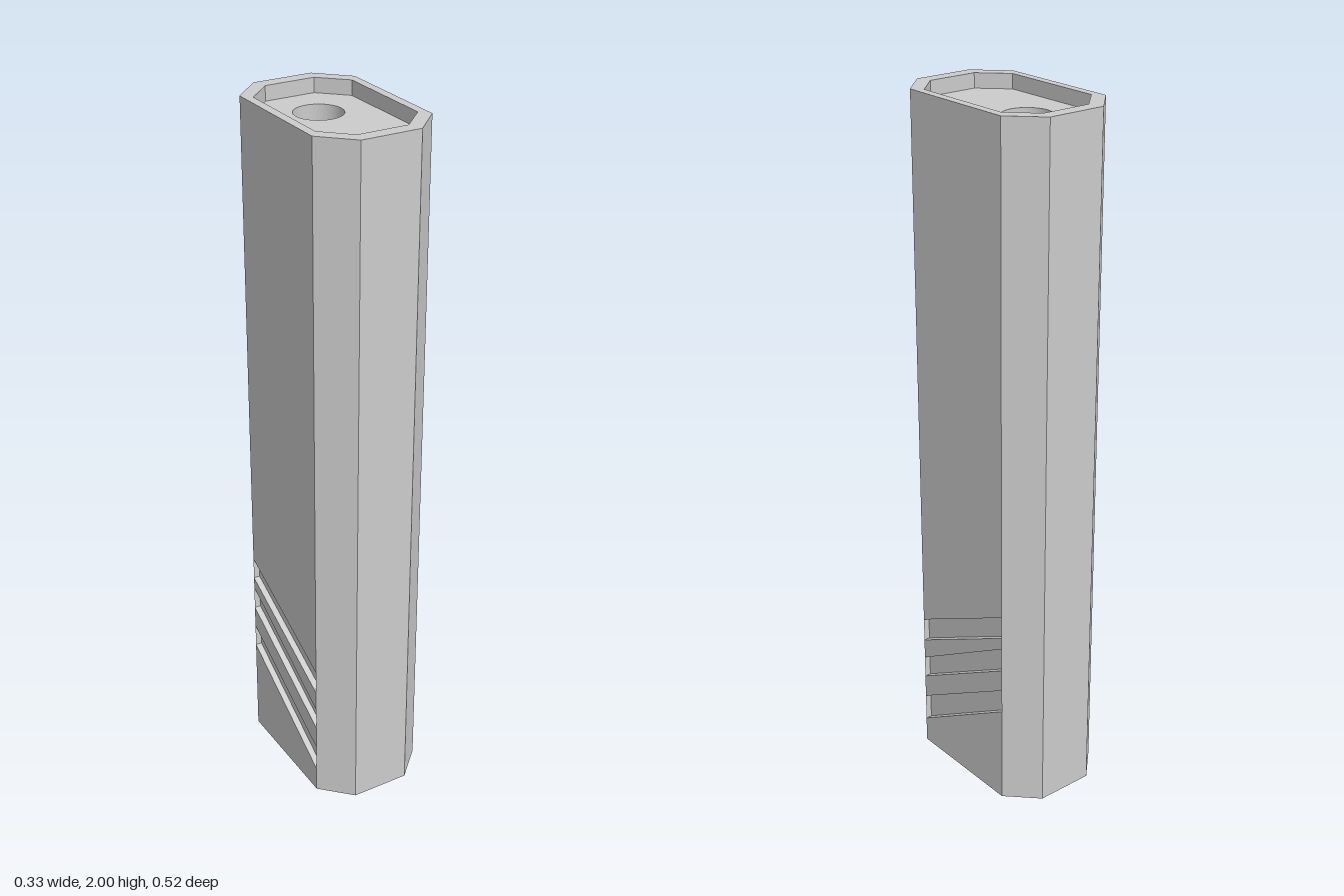
import * as THREE from 'three';
import { toCreasedNormals } from 'three/addons/utils/BufferGeometryUtils.js';

const W = 0.166, L = 0.261;        // half width and half length of the body
const CX = 0.084, CZ = 0.179;      // where the chamfers start
const GROOVE = 0.018;              // depth of the side grooves
const BOTTOM = 0.04, TOP = 2, RECESS = 0.04;
const BORE = 0.065, BORE_Z = -0.077;

const material = new THREE.MeshStandardMaterial({ color: 0xcccccc });

const polygon = (points) => points.map(([x, y]) => new THREE.Vector2(x, y));

// Body outline with a shallow channel along each side for the grooved panels
function bodyShape() {
  const half = [[W, -CZ], [W - GROOVE, -CZ], [W - GROOVE, CZ], [W, CZ], [CX, L]];
  const other = half.map(([x, y]) => [-x, -y]);
  return new THREE.Shape(polygon([[CX, -L], ...half, [-CX, L], ...other.slice(0, 4), [-CX, -L]]));
}

// Extrude a plan outline upward between two heights
function prism(shape, y0, y1) {
  const geo = new THREE.ExtrudeGeometry(shape, { depth: y1 - y0, bevelEnabled: false, curveSegments: 24 });
  geo.rotateX(-Math.PI / 2).translate(0, y0, 0);
  return toCreasedNormals(geo, 0.5);
}

export function createModel() {
  const model = new THREE.Group();
  const add = (name, geo) => {
    const mesh = new THREE.Mesh(geo, material);
    mesh.name = name;
    model.add(mesh);
    return mesh;
  };

  // Solid body with a round bore
  const core = bodyShape();
  core.holes.push(new THREE.Path().absarc(0, -BORE_Z, BORE, 0, Math.PI * 2, true));
  add('body', prism(core, BOTTOM + RECESS, TOP - RECESS));

  // Raised rims around the top and bottom recesses
  const rim = bodyShape();
  const ix = 0.142, iz = 0.222, icx = 0.071, icz = 0.152;
  rim.holes.push(new THREE.Path(polygon([
    [icx, -iz], [-icx, -iz], [-ix, -icz], [-ix, icz], [-icx, iz], [icx, iz], [ix, icz], [ix, -icz],
  ])));
  add('topRim', prism(rim, TOP - RECESS, TOP));
  add('bottomRim', prism(rim, BOTTOM, BOTTOM + RECESS));

  // Side panels, separated by three slanted grooves: [front, back] edge heights
  const panels = [
    [[BOTTOM, BOTTOM], [0.115, 0.33]],
    [[0.195, 0.4], [0.265, 0.465]],
    [[0.33, 0.535], [0.39, 0.57]],
    [[0.46, 0.635], [TOP, TOP]],
  ];
  for (const [low, high] of panels) {
    const shape = new THREE.Shape(polygon([[-CZ, low[1]], [CZ, low[0]], [CZ, high[0]], [-CZ, high[1]]]));
    const geo = new THREE.ExtrudeGeometry(shape, { depth: GROOVE, bevelEnabled: false });
    geo.rotateY(-Math.PI / 2);
    add('leftPanel', geo).position.x = W;
    add('rightPanel', geo).position.x = -W + GROOVE;
  }

  // Short pipe below the bore
  const pipe = new THREE.LatheGeometry(polygon([
    [BORE, BOTTOM + RECESS], [BORE, 0], [0.082, 0], [0.082, BOTTOM + RECESS],
  ]), 32);
  add('pipe', toCreasedNormals(pipe, 0.5)).position.z = BORE_Z;

  return model;
}
